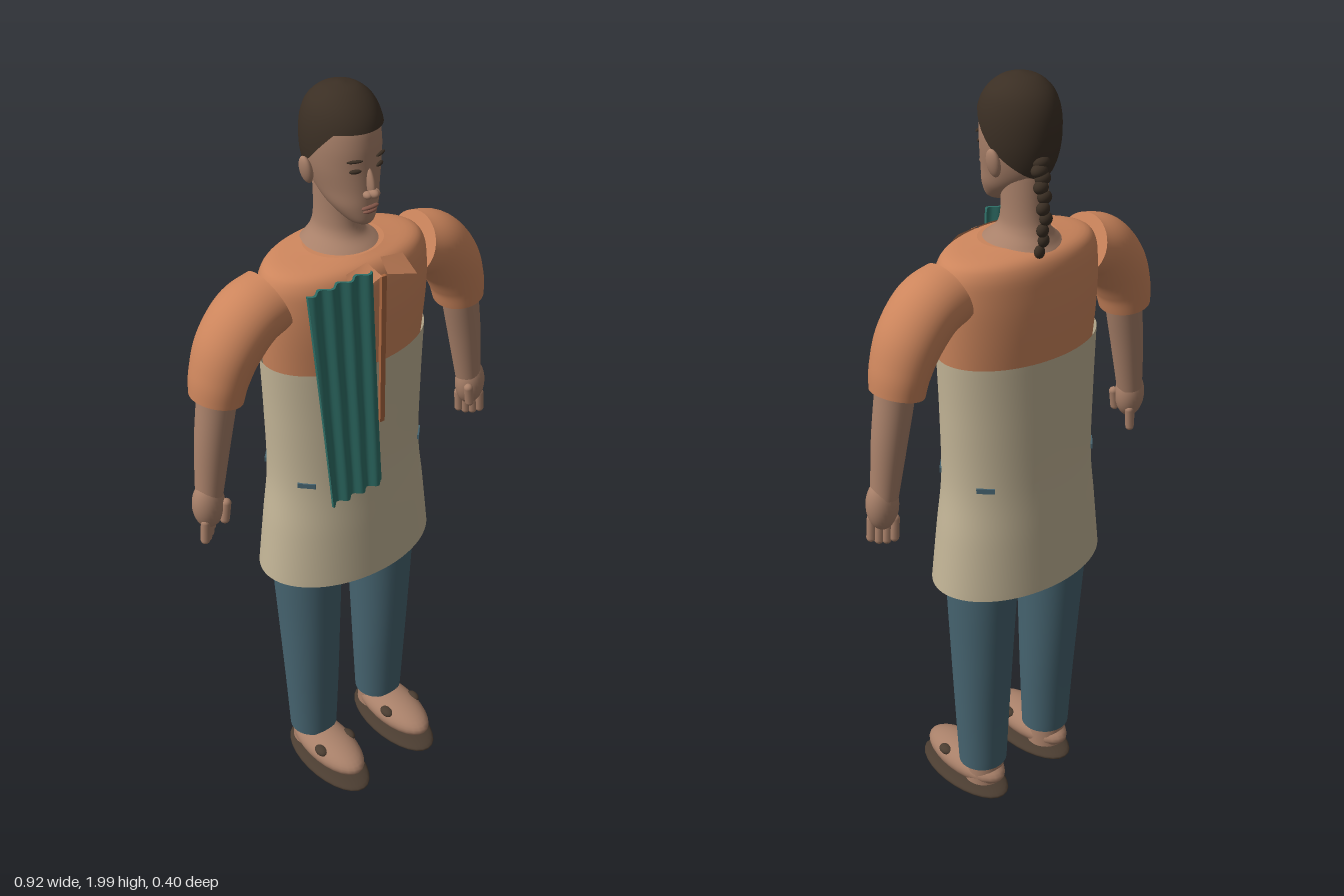
import * as THREE from 'three';

const mat = (name, color, side = THREE.FrontSide) => {
  const m = new THREE.MeshStandardMaterial({ color, side });
  m.name = name;
  return m;
};

// Rows are [x, y, z, radius across, radius in z]; smoothed with splines.
function sampler(rows) {
  const centre = new THREE.CatmullRomCurve3(rows.map(r => new THREE.Vector3(r[0], r[1], r[2])), false, 'catmullrom');
  const radius = new THREE.CatmullRomCurve3(rows.map(r => new THREE.Vector3(r[3], r[4], 0)), false, 'catmullrom');
  return t => {
    const c = centre.getPoint(t), r = radius.getPoint(t);
    return { c, ru: Math.max(r.x, 0), rv: Math.max(r.y, 0), d: centre.getTangent(t) };
  };
}

// Join closed rings of points; flat caps get their own vertices.
function skin(rings, capped) {
  const n = rings[0].length, pos = [], idx = [];
  const add = ring => ring.forEach(p => pos.push(p.x, p.y, p.z));
  rings.forEach(add);
  for (let i = 0; i < rings.length - 1; i++) for (let j = 0; j < n; j++) {
    const a = i * n + j, b = i * n + (j + 1) % n;
    idx.push(a, a + n, b, b, a + n, b + n);
  }
  if (capped) [rings[0], rings[rings.length - 1]].forEach((ring, end) => {
    const start = pos.length / 3;
    add(ring);
    const mid = ring.reduce((s, p) => s.add(p), new THREE.Vector3()).divideScalar(n);
    pos.push(mid.x, mid.y, mid.z);
    for (let j = 0; j < n; j++) {
      const a = start + j, b = start + (j + 1) % n;
      end ? idx.push(a, start + n, b) : idx.push(a, b, start + n);
    }
  });
  const g = new THREE.BufferGeometry();
  g.setAttribute('position', new THREE.Float32BufferAttribute(pos, 3));
  g.setIndex(idx);
  g.computeVertexNormals();
  return g;
}

// Elliptical sections swept along a path in a plane of constant x-y turning.
function sweep(rows, { seg = 40, steps = 30, capped = true } = {}) {
  const at = sampler(rows), rings = [];
  for (let i = 0; i <= steps; i++) {
    const { c, ru, rv, d } = at(i / steps);
    const l = Math.hypot(d.x, d.y) || 1;
    rings.push(Array.from({ length: seg }, (_, j) => {
      const a = j / seg * Math.PI * 2, u = Math.cos(a) * ru;
      return new THREE.Vector3(c.x + u * d.y / l, c.y - u * d.x / l, c.z + Math.sin(a) * rv);
    }));
  }
  return skin(rings, capped);
}

// Upright body section: height, half width, front z, back z.
const body = (y, rx, front, back) => [0, y, (front + back) / 2, rx, (front - back) / 2];

export function createModel() {
  const model = new THREE.Group();
  const skinMat = mat('skin', 0xa88069), shirt = mat('shirt orange', 0xcc855c, THREE.DoubleSide);
  const canvas = mat('apron canvas', 0xc2b496, THREE.DoubleSide), denim = mat('denim', 0x466470);
  const cloth = mat('towel teal', 0x2f7068, THREE.DoubleSide), hairMat = mat('hair brown', 0x3b2f24, THREE.DoubleSide);
  const soleMat = mat('sole brown', 0x4b3d31), lipMat = mat('lips', 0x87594b);
  const seam = mat('placket rust', 0xa9663f);

  const put = (name, geo, m, p = [0, 0, 0], s = [1, 1, 1]) => {
    const mesh = new THREE.Mesh(geo, m);
    mesh.name = name;
    mesh.position.set(...p);
    mesh.scale.set(...s);
    model.add(mesh);
    return mesh;
  };
  const ball = new THREE.SphereGeometry(1, 28, 18);

  // Shirt body
  put('shirtBody', sweep([body(1.05, 0.18, 0.07, -0.14), body(1.2, 0.2, 0.09, -0.16), body(1.36, 0.22, 0.1, -0.172),
    body(1.46, 0.228, 0.106, -0.176), body(1.53, 0.228, 0.104, -0.174), body(1.58, 0.22, 0.097, -0.168),
    body(1.608, 0.19, 0.08, -0.152), body(1.622, 0.1, 0.05, -0.12)], { seg: 64 }), shirt);
  put('shirtPlacket', new THREE.BoxGeometry(0.014, 0.4, 0.009), seam, [0, 1.39, 0.111]);

  // Wrapped apron, open at both ends
  put('apron', sweep([body(0.73, 0.25, 0.13, -0.2), body(0.88, 0.232, 0.121, -0.192), body(1.02, 0.215, 0.112, -0.185),
    body(1.2, 0.218, 0.109, -0.183), body(1.36, 0.225, 0.108, -0.182)], { seg: 72, capped: false }), canvas);

  // Trousers
  put('hips', sweep([body(0.8, 0.19, 0.07, -0.14), body(0.92, 0.2, 0.08, -0.15), body(1.05, 0.185, 0.075, -0.15)]), denim);
  for (const sx of [-1, 1]) for (const sz of [-1, 1]) {
    const a = 0.58, chip = put('hipPatch', new THREE.BoxGeometry(0.045, 0.013, 0.008), denim,
      [sx * 0.213 * Math.cos(a), 1.037, -0.037 + sz * 0.149 * Math.sin(a)]);
    chip.rotation.y = sx * sz * 0.8;
  }

  for (const s of [-1, 1]) {
    const side = s > 0 ? 'left' : 'right';
    put(side + 'TrouserLeg', sweep([[s * 0.118, 0.12, -0.03, 0.066, 0.064], [s * 0.119, 0.3, -0.031, 0.074, 0.073],
      [s * 0.121, 0.5, -0.034, 0.081, 0.085], [s * 0.122, 0.73, -0.038, 0.09, 0.097], [s * 0.115, 0.9, -0.038, 0.094, 0.1]]), denim);

    // Foot, sole and side buttons
    put(side + 'Ankle', new THREE.CylinderGeometry(0.05, 0.055, 0.08, 28), skinMat, [s * 0.118, 0.1, -0.035]);
    put(side + 'Shoe', ball, skinMat, [s * 0.119, 0.082, 0.038], [0.065, 0.045, 0.143]);
    put(side + 'Sole', ball, soleMat, [s * 0.119, 0.028, 0.043], [0.075, 0.021, 0.158]);
    for (const k of [-1, 1]) put(side + 'ShoeButton', ball, soleMat, [s * 0.119 + k * 0.048, 0.105, 0.07], [0.016, 0.013, 0.022]);

    // Sleeve and forearm
    put(side + 'Sleeve', sweep([[s * 0.212, 1.54, -0.036, 0.076, 0.08], [s * 0.275, 1.517, -0.036, 0.079, 0.084],
      [s * 0.328, 1.46, -0.036, 0.076, 0.082], [s * 0.358, 1.395, -0.036, 0.068, 0.076],
      [s * 0.37, 1.34, -0.036, 0.062, 0.069]]), shirt);
    put(side + 'Forearm', sweep([[s * 0.362, 1.42, -0.032, 0.048, 0.046], [s * 0.372, 1.34, -0.031, 0.048, 0.046],
      [s * 0.393, 1.22, -0.03, 0.043, 0.042], [s * 0.413, 1.08, -0.028, 0.033, 0.034]]), skinMat);

    // Hand with four fingers and a thumb
    put(side + 'Palm', ball, skinMat, [s * 0.418, 1.058, -0.025], [0.041, 0.066, 0.037]);
    for (let i = 0; i < 4; i++) {
      const f = put(side + 'Finger', new THREE.CapsuleGeometry(0.0115, 0.05, 6, 12), skinMat,
        [s * (0.4 + i * 0.014), 0.995 - (i % 3 ? 0.006 : 0), -0.045 + i * 0.012]);
      f.rotation.z = s * 0.08;
    }
    const thumb = put(side + 'Thumb', new THREE.CapsuleGeometry(0.012, 0.045, 6, 12), skinMat, [s * 0.39, 1.04, 0.004]);
    thumb.rotation.z = s * 0.15;

    // Collar flap
    const flap = new THREE.BufferGeometry();
    flap.setAttribute('position', new THREE.Float32BufferAttribute([s * 0.02, 1.615, 0.076, s * 0.082, 1.607, 0.08,
      s * 0.097, 1.562, 0.116, s * 0.008, 1.593, 0.116], 3));
    flap.setIndex(s > 0 ? [0, 3, 2, 0, 2, 1] : [0, 2, 3, 0, 1, 2]);
    flap.computeVertexNormals();
    put(side + 'CollarFlap', flap, shirt);

    // Ear, eye and brow
    const ear = put(side + 'Ear', ball, skinMat, [s * 0.089, 1.815, -0.052], [0.012, 0.034, 0.02]);
    ear.rotation.z = -s * 0.2;
    put(side + 'Eye', ball, hairMat, [s * 0.034, 1.832, 0.052], [0.014, 0.005, 0.006]).rotation.y = s * 0.4;
    put(side + 'Brow', ball, hairMat, [s * 0.036, 1.856, 0.053], [0.019, 0.0035, 0.005]).rotation.y = s * 0.4;
    put(side + 'Nostril', ball, skinMat, [s * 0.011, 1.775, 0.067], [0.01, 0.009, 0.012]);
  }

  // Neck flaring over the shirt
  put('neck', sweep([body(1.61, 0.108, 0.06, -0.148), body(1.625, 0.085, 0.04, -0.137), body(1.65, 0.058, 0.012, -0.125),
    body(1.69, 0.05, 0.002, -0.118), body(1.78, 0.052, 0.0, -0.118)]), skinMat);

  // Head
  const headRows = [body(1.695, 0.014, 0.052, 0.02), body(1.706, 0.032, 0.062, -0.015), body(1.74, 0.056, 0.064, -0.07),
    body(1.78, 0.069, 0.062, -0.115), body(1.83, 0.08, 0.06, -0.132), body(1.88, 0.083, 0.059, -0.136),
    body(1.925, 0.078, 0.05, -0.13), body(1.96, 0.064, 0.028, -0.112), body(1.985, 0.036, -0.005, -0.08), body(1.995, 0, -0.042, -0.042)];
  put('head', sweep(headRows, { seg: 48, steps: 50 }), skinMat);
  put('noseBridge', ball, skinMat, [0, 1.802, 0.06], [0.009, 0.036, 0.016]).rotation.x = -0.3;
  put('noseTip', ball, skinMat, [0, 1.779, 0.074], [0.011, 0.011, 0.016]);
  put('upperLip', ball, lipMat, [0, 1.742, 0.063], [0.024, 0.005, 0.008]);
  put('lowerLip', ball, lipMat, [0, 1.732, 0.062], [0.019, 0.005, 0.008]);

  // Hair cap, dropping from the brow to the nape
  const headAt = sampler(headRows), hairRings = [];
  const headY = y => {
    let lo = 0, hi = 1;
    for (let k = 0; k < 24; k++) {
      const m = (lo + hi) / 2;
      headAt(m).c.y < y ? lo = m : hi = m;
    }
    return headAt(lo);
  };
  for (let i = 0; i <= 18; i++) {
    hairRings.push(Array.from({ length: 48 }, (_, j) => {
      const a = j / 48 * Math.PI * 2, f = Math.sin(a);
      const hem = f > 0 ? 1.845 + 0.067 * Math.min(1, f * 1.6) : 1.845 + 0.075 * f;
      const e = 1 - i / 18, y = 1.995 - (1.995 - hem) * e * e;
      const h = headY(y), grow = i === 18 ? 0 : 0.007;
      return new THREE.Vector3(Math.cos(a) * (h.ru + grow), y + 0.005, h.c.z + f * (h.rv + grow));
    }));
  }
  put('hairCap', skin(hairRings, false), hairMat);

  // Braid
  const braid = new THREE.CatmullRomCurve3([[0.02, 1.82, -0.128], [0.028, 1.77, -0.145], [0.032, 1.7, -0.158], [0.032, 1.62, -0.147]]
    .map(p => new THREE.Vector3(...p)));
  for (let i = 0; i < 10; i++) {
    const p = braid.getPoint(i / 9), r = 0.022 - i * 0.0009;
    put('braidKnot', ball, hairMat, [p.x + (i % 2 ? 0.004 : -0.004), p.y, p.z], [r, 0.016, r * 0.8]);
  }

  // Towel hanging from the shoulder in soft folds
  const towel = new THREE.BoxGeometry(1, 0.605, 0.007, 40, 12, 1), tp = towel.attributes.position;
  for (let i = 0; i < tp.count; i++) {
    const u = tp.getX(i) + 0.5, v = 0.5 - tp.getY(i) / 0.605;
    const x = THREE.MathUtils.lerp(-0.226, -0.167, v) + u * THREE.MathUtils.lerp(0.18, 0.162, v);
    tp.setXYZ(i, x, 1.322 + tp.getY(i), 0.126 + tp.getZ(i) + 0.008 * Math.sin(u * 22 + v * 1.5));
  }
  towel.computeVertexNormals();
  put('towel', towel, cloth);

  return model;
}
